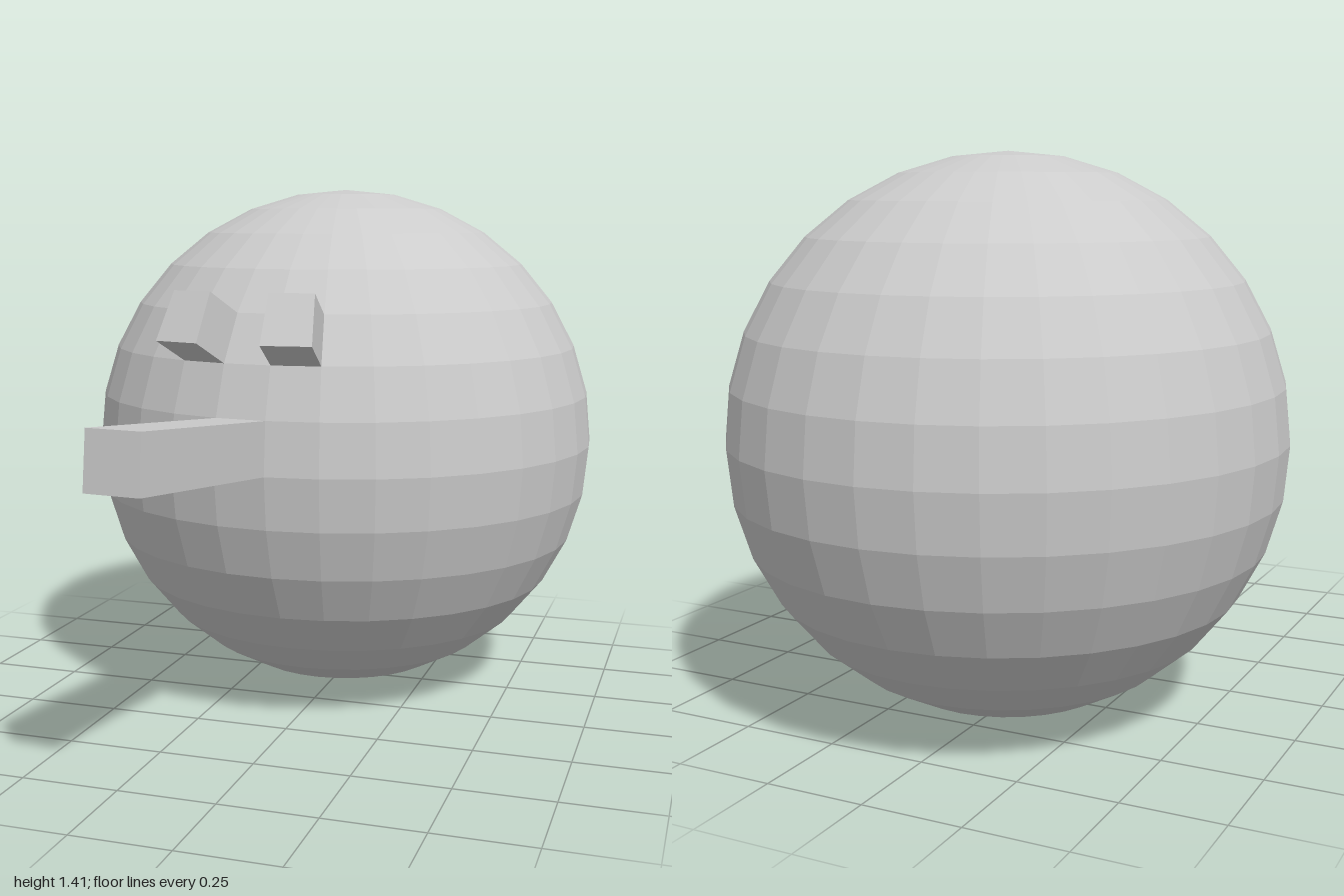
import * as THREE from 'three';

const R = 0.705;               // ball radius
const STEP = Math.PI / 16;     // 32 segments, 16 rings
const CENTRE = new THREE.Vector3(0, R, R - 1);

// Point on the ball at grid column i (0 = front, + towards +x) and row j (0 = equator)
function gridPoint(i, j) {
  const a = i * STEP, e = j * STEP;
  return new THREE.Vector3(
    Math.sin(a) * Math.cos(e), Math.sin(e), Math.cos(a) * Math.cos(e)
  ).multiplyScalar(R);
}

// Block that pushes one ball facet straight out along its normal
function facetBlock(i, j, length) {
  const base = [gridPoint(i, j), gridPoint(i + 1, j), gridPoint(i + 1, j + 1), gridPoint(i, j + 1)];
  const push = new THREE.Vector3()
    .crossVectors(base[2].clone().sub(base[0]), base[3].clone().sub(base[1]))
    .setLength(length);
  const tip = base.map((p) => p.clone().add(push));
  const pos = [];
  const quad = (a, b, c, d) => [a, b, c, a, c, d].forEach((p) => pos.push(p.x, p.y, p.z));
  quad(...tip);
  for (let k = 0; k < 4; k++) {
    const n = (k + 1) % 4;
    quad(base[k], base[n], tip[n], tip[k]);
  }
  const geo = new THREE.BufferGeometry();
  geo.setAttribute('position', new THREE.Float32BufferAttribute(pos, 3));
  geo.computeVertexNormals();
  return geo;
}

export function createModel() {
  const group = new THREE.Group();
  const material = new THREE.MeshStandardMaterial({ color: 0xcccccc, flatShading: true });
  const add = (name, geometry) => {
    const mesh = new THREE.Mesh(geometry, material);
    mesh.name = name;
    mesh.position.copy(CENTRE);
    group.add(mesh);
  };

  // Faceted ball head
  add('head', new THREE.SphereGeometry(R, 32, 16));

  // Long nose and two short eyes, each grown from one facet
  add('nose', facetBlock(-1, 0, 0.596));
  add('leftEye', facetBlock(0, 2, 0.123));
  add('rightEye', facetBlock(-2, 2, 0.123));

  return group;
}
